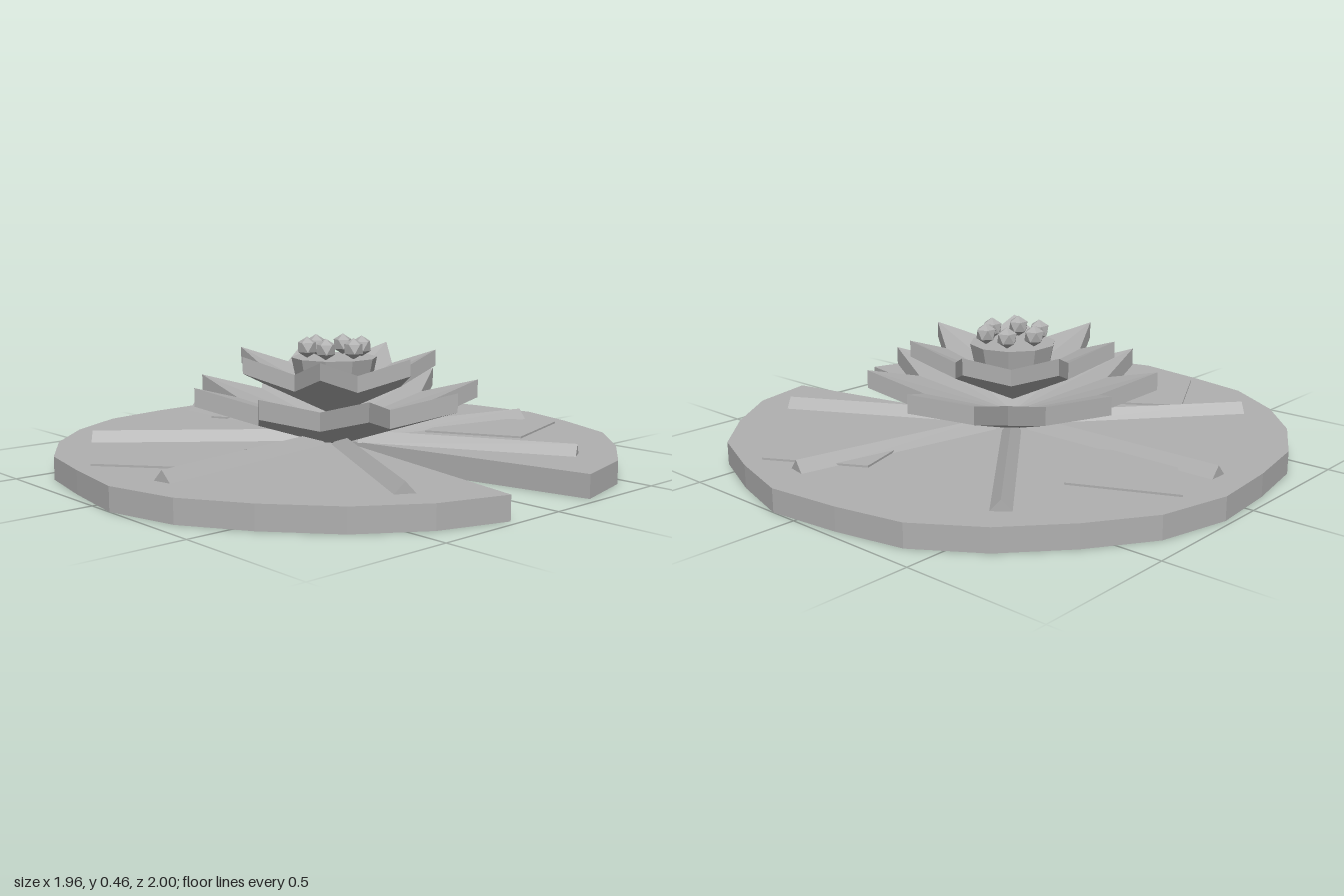
import * as THREE from 'three';

export function createModel() {
  const group = new THREE.Group();
  const grey = new THREE.MeshStandardMaterial({ color: 0xb0b0b0, flatShading: true });
  grey.name = 'stone grey';

  const add = (name, geometry, parent = group) => {
    const mesh = new THREE.Mesh(geometry, grey);
    mesh.name = name;
    parent.add(mesh);
    return mesh;
  };

  // Flat slab from an [x, z] outline, between heights y and y + h
  const slab = (points, y, h) => {
    const shape = new THREE.Shape(points.map(([x, z]) => new THREE.Vector2(x, -z)));
    const g = new THREE.ExtrudeGeometry(shape, { depth: h, bevelEnabled: false });
    return g.rotateX(-Math.PI / 2).translate(0, y, 0);
  };

  // Pad with a wedge notch on the +x side
  add('lilyPad', slab([
    [0, 0], [0.97, -0.2], [0.91, -0.44], [0.76, -0.65], [0.58, -0.83], [0.34, -0.93],
    [0.1, -1], [-0.16, -0.97], [-0.4, -0.92], [-0.61, -0.78], [-0.78, -0.59], [-0.92, -0.38],
    [-0.98, -0.13], [-0.96, 0.12], [-0.915, 0.37], [-0.79, 0.59], [-0.62, 0.77], [-0.4, 0.91],
    [-0.16, 0.96], [0.1, 1], [0.35, 0.94], [0.56, 0.81], [0.76, 0.64], [0.9, 0.43], [0.975, 0.195],
  ], 0, 0.08));

  // Thin patches lying on the pad
  const patches = [
    [[0.34, -0.86], [0.45, -0.51], [0.13, -0.34], [0.02, -0.68]],
    [[-0.885, -0.225], [-0.55, -0.38], [-0.335, -0.1], [-0.665, 0.065]],
    [[-0.355, 0.57], [-0.185, 0.895], [0.1, 0.665], [-0.04, 0.37]],
  ];
  for (const p of patches) add('padPatch', slab(p, 0.079, 0.008));

  // Triangular ridges radiating from the flower
  const veins = new THREE.Group();
  veins.name = 'veins';
  group.add(veins);
  const section = new THREE.Shape([
    new THREE.Vector2(-0.036, 0.078), new THREE.Vector2(0.036, 0.078), new THREE.Vector2(0, 0.118),
  ]);
  for (let i = 0; i < 7; i++) {
    const angle = THREE.MathUtils.degToRad(28.6 + i * 50.5);
    const g = new THREE.ExtrudeGeometry(section, { depth: 0.77, bevelEnabled: false });
    g.translate(0, 0, 0.1).rotateY(Math.PI / 2 - angle);
    add('vein', g, veins);
  }

  // Star-shaped cup of petals: a thick star whose height rises with radius
  const petalStar = (count, tip, valley, start, base, tipY, valleyY, thick) => {
    const pos = [];
    const n = count * 2;
    const ring = (i, drop) => {
      const a = start + (i * Math.PI) / count;
      const r = i % 2 ? valley : tip;
      return [r * Math.sin(a), (i % 2 ? valleyY : tipY) - drop, -r * Math.cos(a)];
    };
    const top = [0, base, 0];
    const bottom = [0, base - thick, 0];
    for (let i = 0; i < n; i++) {
      const a = ring(i, 0), b = ring(i + 1, 0), c = ring(i, thick), d = ring(i + 1, thick);
      pos.push(...top, ...b, ...a, ...bottom, ...c, ...d, ...a, ...b, ...d, ...a, ...d, ...c);
    }
    const g = new THREE.BufferGeometry();
    g.setAttribute('position', new THREE.Float32BufferAttribute(pos, 3));
    g.computeVertexNormals();
    return g;
  };
  const flower = new THREE.Group();
  flower.name = 'flower';
  group.add(flower);
  add('lowerPetals', petalStar(9, 0.52, 0.35, 0, 0.12, 0.295, 0.235, 0.065), flower);
  add('upperPetals', petalStar(7, 0.368, 0.25, 0.64, 0.225, 0.402, 0.342, 0.058), flower);

  // Central disc and stamens
  add('flowerCentre', new THREE.CylinderGeometry(0.155, 0.13, 0.12, 10).translate(0, 0.32, 0), flower);
  for (let i = 0; i < 6; i++) {
    const a = (i * Math.PI) / 3;
    const g = new THREE.IcosahedronGeometry(0.038, 0).rotateZ(-0.5536);
    add('stamen', g.translate(0.1 * Math.cos(a), 0.417, 0.1 * Math.sin(a)), flower);
  }
  return group;
}
